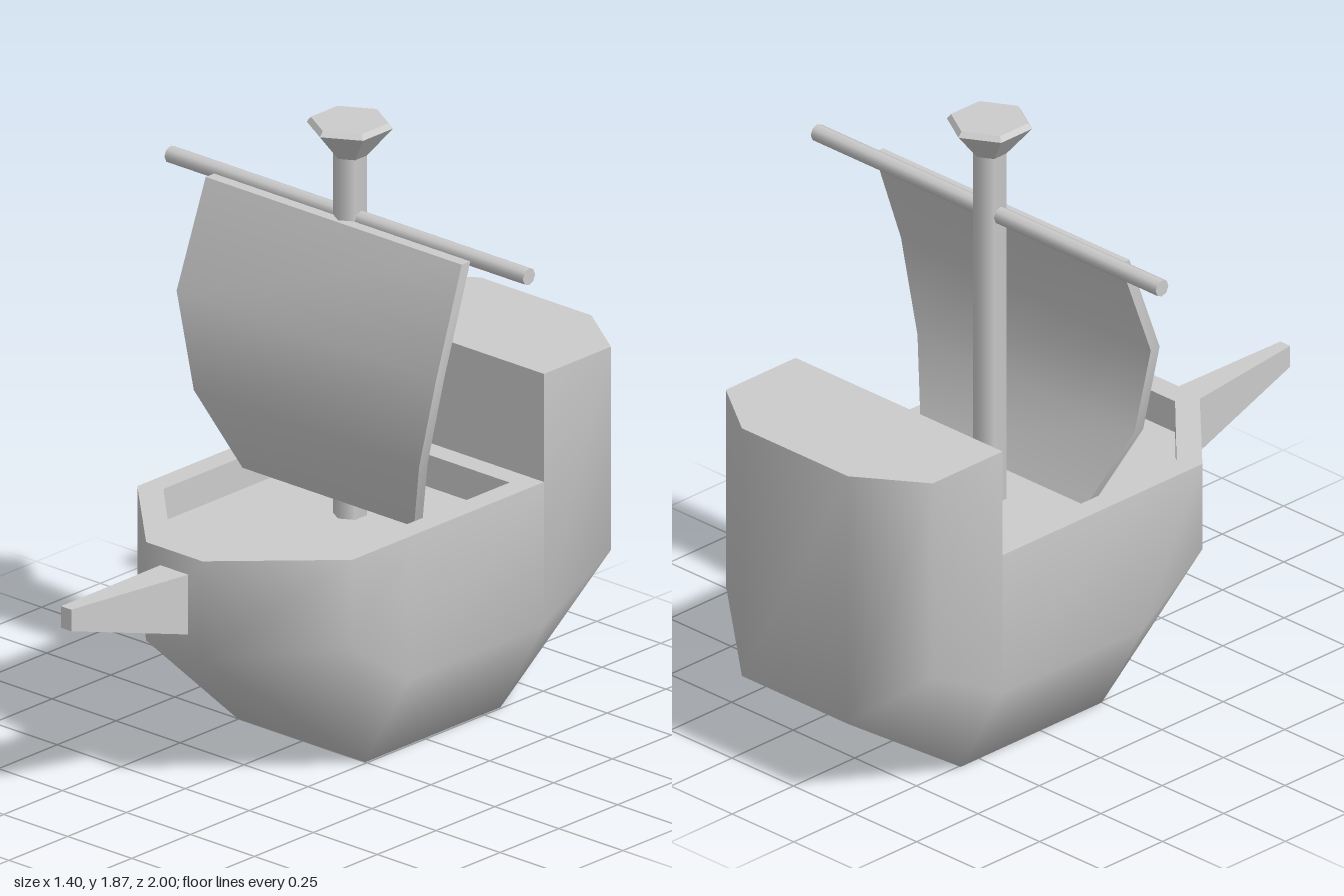
import * as THREE from 'three';
import { toCreasedNormals } from 'three/addons/utils/BufferGeometryUtils.js';

const material = new THREE.MeshStandardMaterial({ color: 0xcccccc });

// Triangle fan over a convex, counter-clockwise polygon; zero-area triangles are dropped
function fan(points) {
  const out = [];
  for (let i = 1; i < points.length - 1; i++) {
    const t = new THREE.Triangle(points[0], points[i], points[i + 1]);
    if (t.getArea() > 1e-7) out.push(t.a, t.b, t.c);
  }
  return out;
}

// Joins closed rings of points (counter-clockwise seen from ahead), optionally capping the ends
function loft(rings, capStart, capEnd) {
  const out = [];
  for (let r = 0; r < rings.length - 1; r++) {
    const lo = rings[r], hi = rings[r + 1], n = lo.length;
    for (let i = 0; i < n; i++) {
      const j = (i + 1) % n;
      out.push(...fan([lo[i], lo[j], hi[j], hi[i]]));
    }
  }
  if (capStart) out.push(...fan([...rings[0]].reverse()));
  if (capEnd) out.push(...fan(rings[rings.length - 1]));
  return out;
}

function makeMesh(name, geometry) {
  const mesh = new THREE.Mesh(geometry, material);
  mesh.name = name;
  return mesh;
}

function pointMesh(name, points, crease) {
  const geometry = new THREE.BufferGeometry().setFromPoints(points);
  return makeMesh(name, toCreasedNormals(geometry, crease));
}

const v = (x, y, z) => new THREE.Vector3(x, y, z);

// Left half of a ring, from bow to stern, completed by its mirror image
const mirrorRing = (half) =>
  [...half, ...half.map((p) => v(-p.x, p.y, p.z)).reverse()];

const DECK = 0.745, CASTLE = 1.08, FLOOR = 0.645, STEP = -0.575;

function createHull() {
  const hull = new THREE.Group();
  hull.name = 'hull';
  hull.position.x = -0.006;

  // Outline stations: x, z, chine height, top height, keel z
  const stations = [
    [0.11, 0.54, 0.44, DECK, 0],
    [0.42, 0.24, 0.47, DECK, 0],
    [0.42, 0, 0.30, DECK, 0],
    [0.42, STEP, 0.30, DECK, STEP],
    [0.42, STEP, 0.30, CASTLE, STEP],
    [0.42, -0.86, 0.45, CASTLE, STEP],
    [0.215, -1, 0.28, CASTLE, STEP],
  ];
  const keel = mirrorRing(stations.map((s) => v(0.25, 0, s[4])));
  const chine = mirrorRing(stations.map((s) => v(s[0], s[2], s[1])));
  const top = mirrorRing(stations.map((s) => v(s[0], s[3], s[1])));
  hull.add(pointMesh('hullSides', loft([keel, chine, top], true, false), 1.2));

  // Rim, inner walls and sunken floor
  const outer = mirrorRing([v(0.11, DECK, 0.54), v(0.42, DECK, 0.24), v(0.42, DECK, STEP)]);
  const innerRing = (y) => mirrorRing([v(0.085, y, 0.465), v(0.35, y, 0.205), v(0.35, y, -0.505)]);
  hull.add(pointMesh('deck', loft([outer, innerRing(DECK), innerRing(FLOOR)], false, true), 0.3));

  // Raised stern: front wall and roof
  const wall = [v(-0.42, DECK, STEP), v(0.42, DECK, STEP), v(0.42, CASTLE, STEP), v(-0.42, CASTLE, STEP)];
  const roof = top.filter((p) => p.y === CASTLE);
  hull.add(pointMesh('sternCastle', [...fan(wall), ...fan(roof)], 0.3));

  // Tapered bowsprit: half width, bottom, top, z
  const sprit = [[0.055, 0.5, 0.688, 0.53], [0.02, 0.64, 0.707, 1]].map(([w, lo, hi, z]) =>
    [v(-w, lo, z), v(w, lo, z), v(w, hi, z), v(-w, hi, z)]);
  hull.add(pointMesh('bowsprit', loft(sprit, true, true), 0.3));
  return hull;
}

function createSail() {
  // Billowing slab, bottom to top: half width, y, front z, back z
  const rings = [
    [0.335, 0.72, -0.115, -0.15],
    [0.44, 0.96, -0.022, -0.058],
    [0.507, 1.25, -0.022, -0.058],
    [0.5, 1.57, -0.138, -0.175],
  ].map(([w, y, f, b]) => [v(-w, y, f), v(w, y, f), v(w, y, b), v(-w, y, b)]);
  const sail = pointMesh('sail', loft(rings, true, true), 0.6);
  sail.position.x = -0.006;
  return sail;
}

function createRigging() {
  const rigging = new THREE.Group();
  rigging.name = 'rigging';
  rigging.position.z = -0.2;

  const mast = makeMesh('mast', new THREE.CylinderGeometry(0.05, 0.05, 1.14, 6));
  mast.position.y = 1.2;

  const yard = makeMesh('yard', new THREE.CylinderGeometry(0.026, 0.026, 1.4, 8));
  yard.rotation.z = Math.PI / 2;
  yard.position.y = 1.57;

  // Flared six-sided lookout with a thin bevelled lid
  const profile = [[0, 1.76], [0.05, 1.76], [0.127, 1.85], [0.115, 1.866], [0, 1.866]]
    .map(([r, y]) => new THREE.Vector2(r, y));
  const nest = makeMesh('crowsNest',
    toCreasedNormals(new THREE.LatheGeometry(profile, 6).toNonIndexed(), 0.3));

  rigging.add(mast, yard, nest);
  return rigging;
}

export function createModel() {
  const ship = new THREE.Group();
  ship.name = 'sailingShip';
  ship.add(createHull(), createSail(), createRigging());
  return ship;
}
